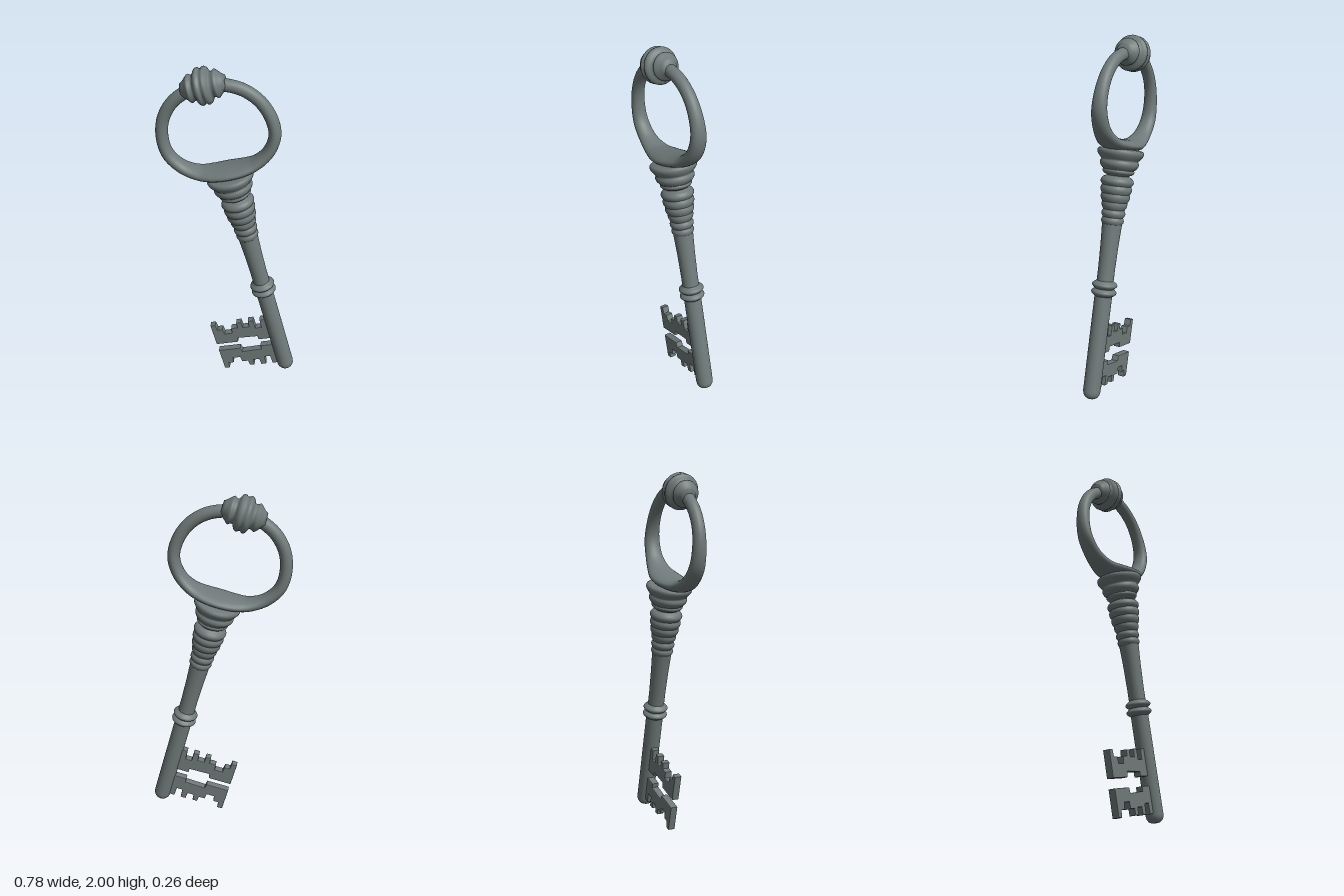
import * as THREE from 'three';

const iron = new THREE.MeshStandardMaterial({ color: 0x6f7979 });
iron.name = 'grey iron';

function add(parent, name, geometry) {
  const mesh = new THREE.Mesh(geometry, iron);
  mesh.name = name;
  parent.add(mesh);
  return mesh;
}

// Turned part from [radius, height] pairs
function turned(profile) {
  return new THREE.LatheGeometry(profile.map(([r, y]) => new THREE.Vector2(r, y)), 40);
}

// Rounded rib between two heights
function rib(y0, y1, inner0, inner1, bulge) {
  const pts = [];
  for (let i = 0; i <= 8; i++) {
    const t = i / 8;
    pts.push([inner0 + (inner1 - inner0) * t + bulge * Math.sin(Math.PI * t), y0 + (y1 - y0) * t]);
  }
  return pts;
}

// Closed ring with an elliptical section; each path point is x, y, half depth
function bowGeometry() {
  const half = [[0.085, 1.429, 0.088], [0.155, 1.443, 0.069], [0.235, 1.494, 0.051], [0.288, 1.58, 0.044],
    [0.291, 1.68, 0.038], [0.25, 1.79, 0.034], [0.16, 1.876, 0.034]];
  const path = [[0, 1.426, 0.098], ...half, [0, 1.92, 0.036],
    ...half.slice().reverse().map(([x, y, b]) => [-x, y, b])];
  const curve = new THREE.CatmullRomCurve3(path.map((p) => new THREE.Vector3(...p)), true);
  const n = 96, m = 24, positions = [], index = [];
  for (let i = 0; i < n; i++) {
    const p = curve.getPoint(i / n);
    const t = curve.getTangent(i / n).setZ(0).normalize();
    for (let j = 0; j < m; j++) {
      const a = (j / m) * Math.PI * 2;
      const c = 0.033 * Math.cos(a);
      positions.push(p.x + t.y * c, p.y - t.x * c, p.z * Math.sin(a));
      const i2 = (i + 1) % n, j2 = (j + 1) % m;
      index.push(i * m + j, i2 * m + j, i2 * m + j2, i * m + j, i2 * m + j2, i * m + j2);
    }
  }
  const g = new THREE.BufferGeometry();
  g.setAttribute('position', new THREE.Float32BufferAttribute(positions, 3));
  g.setIndex(index);
  g.computeVertexNormals();
  return g;
}

// Toothed plate; flip = -1 mirrors it downwards
function bitGeometry(flip) {
  const outline = [[-0.02, 0.026], [-0.117, 0.026], [-0.117, 0.052], [-0.238, 0.056], [-0.245, 0.026],
    [-0.381, 0.026], [-0.381, 0.174], [-0.35, 0.176], [-0.346, 0.137], [-0.315, 0.137], [-0.31, 0.1],
    [-0.264, 0.1], [-0.26, 0.137], [-0.222, 0.137], [-0.22, 0.173], [-0.19, 0.173], [-0.188, 0.133],
    [-0.15, 0.133], [-0.147, 0.176], [-0.115, 0.176], [-0.113, 0.118], [-0.078, 0.118], [-0.075, 0.176],
    [-0.02, 0.176]];
  const shape = new THREE.Shape(outline.map(([x, y]) => new THREE.Vector2(x, y * flip)));
  const g = new THREE.ExtrudeGeometry(shape, {
    depth: 0.032, bevelEnabled: true, bevelThickness: 0.005, bevelSize: 0.004, bevelOffset: -0.004, bevelSegments: 2,
  });
  return g.translate(0, 0.228, -0.016);
}

export function createModel() {
  const group = new THREE.Group();
  group.name = 'key';

  // Everything is built upright, then leaned over
  const key = new THREE.Group();
  key.name = 'leaningKey';
  key.position.set(0.352, 0.045, 0);
  key.rotation.z = 0.2566;
  group.add(key);

  // Round shaft with a rounded tip
  add(key, 'shaft', turned([[0, 0], [0.022, 0.002], [0.037, 0.011], [0.046, 0.026], [0.049, 0.045], [0.049, 0.62],
    [0.047, 0.66], [0.047, 0.75], [0.05, 0.88], [0.054, 0.97], [0.056, 1.02], [0.056, 1.06]]));

  // Paired rings halfway up
  add(key, 'shaftRings', turned([[0.045, 0.585], ...rib(0.59, 0.631, 0.05, 0.053, 0.019),
    ...rib(0.633, 0.673, 0.053, 0.05, 0.019), [0.045, 0.68]]));

  // Small collars, ribbed neck and flared cup
  add(key, 'neckCollars', turned([[0.045, 0.985], ...rib(0.99, 1.03, 0.053, 0.056, 0.008),
    ...rib(1.03, 1.072, 0.056, 0.058, 0.009), [0.05, 1.08]]));
  add(key, 'ribbedNeck', turned([[0.05, 1.06], ...rib(1.072, 1.115, 0.058, 0.069, 0.006),
    ...rib(1.115, 1.16, 0.069, 0.077, 0.007), ...rib(1.16, 1.205, 0.077, 0.08, 0.008),
    ...rib(1.205, 1.25, 0.08, 0.078, 0.012), [0.06, 1.258], [0.055, 1.27]]));
  add(key, 'cup', turned([[0.055, 1.25], [0.062, 1.262], ...rib(1.266, 1.293, 0.074, 0.084, 0.008),
    ...rib(1.296, 1.345, 0.09, 0.1, 0.011), [0.106, 1.35], [0.116, 1.362], [0.125, 1.375], [0.128, 1.386],
    [0.126, 1.396], [0.119, 1.402], [0.1, 1.406], [0, 1.412]]));

  // Ring-shaped bow
  add(key, 'bow', bowGeometry());

  // Turned collar at the top of the bow
  const side = [[0.036, 0.115], [0.045, 0.1], [0.06, 0.085], [0.071, 0.073], [0.073, 0.067], [0.068, 0.06],
    [0.064, 0.05], [0.066, 0.042], [0.078, 0.037], [0.09, 0.03], [0.096, 0.02], [0.095, 0.012], [0.088, 0.004]];
  const collar = add(key, 'bowCollar', turned([[0, -0.115], ...side.map(([r, y]) => [r, -y]),
    ...side.slice().reverse(), [0, 0.115]]));
  collar.position.y = 1.917;
  collar.rotation.z = Math.PI / 2;

  // Two toothed bits
  add(key, 'upperBit', bitGeometry(1));
  add(key, 'lowerBit', bitGeometry(-1));

  return group;
}
